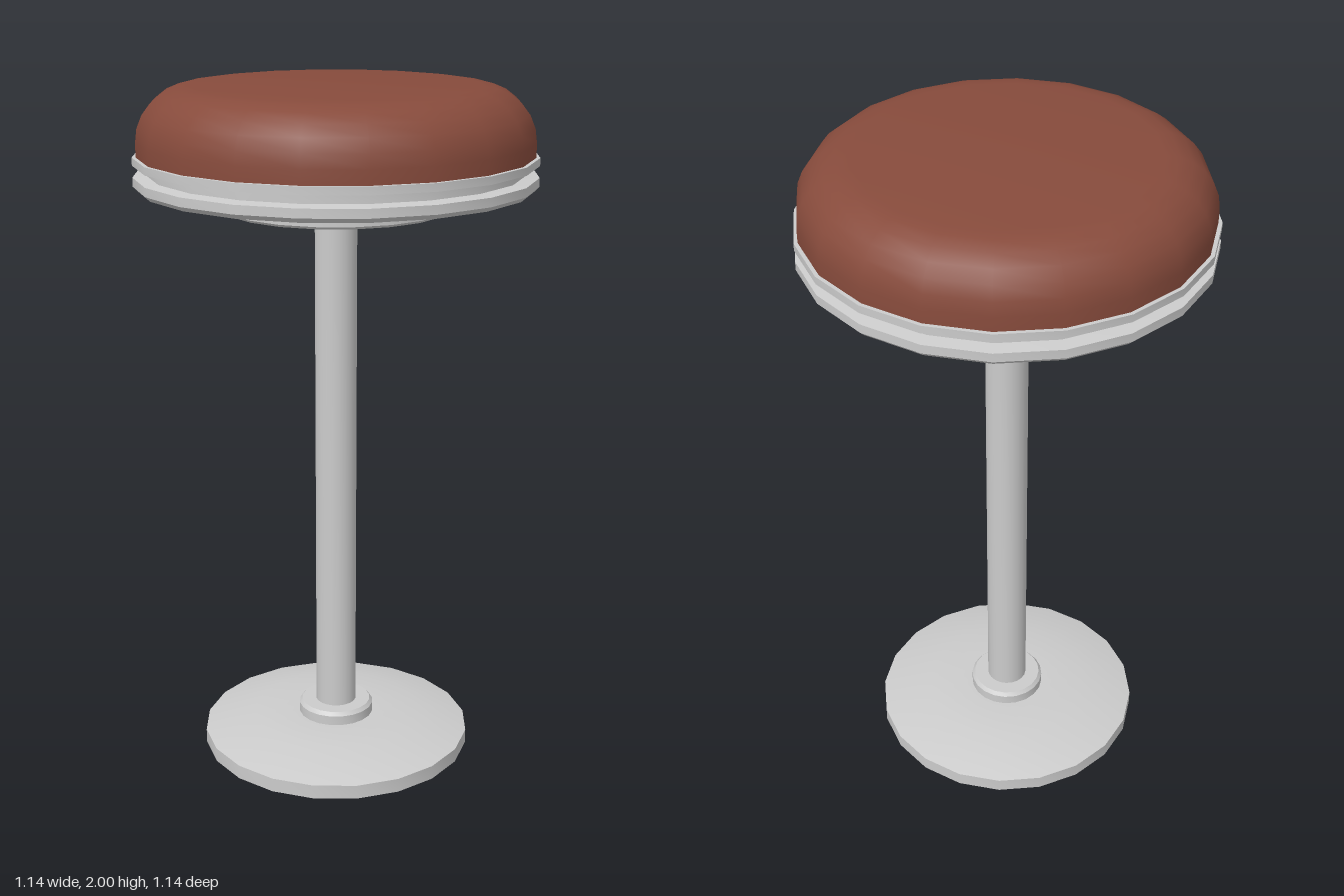
import * as THREE from 'three';
import { toCreasedNormals } from 'three/addons/utils/BufferGeometryUtils.js';

const SIDES = 20;

// Turned part from a [radius, height] profile, listed bottom to top
function turned(name, profile, material) {
  const points = profile.map(([r, y]) => new THREE.Vector2(r, y));
  const geometry = toCreasedNormals(new THREE.LatheGeometry(points, SIDES), 0.55);
  const mesh = new THREE.Mesh(geometry, material);
  mesh.name = name;
  return mesh;
}

export function createModel() {
  const stool = new THREE.Group();
  stool.name = 'barStool';
  const metal = new THREE.MeshStandardMaterial({ color: 0xcccccc, side: THREE.DoubleSide });
  const leather = new THREE.MeshStandardMaterial({ color: 0x874b3c });

  // Hollow foot: rim, sloping skirt and flat centre, open underneath
  stool.add(turned('base', [
    [0.405, 0], [0.405, 0.042], [0.25, 0.083], [0.113, 0.083],
  ], metal));

  // Collar where the column meets the foot
  stool.add(turned('baseCollar', [
    [0.113, 0.083], [0.113, 0.112], [0.104, 0.123], [0.061, 0.123],
  ], metal));

  // Open tube column
  stool.add(turned('column', [[0.061, 0.123], [0.061, 1.635]], metal));

  // Small flange and wide hub under the seat
  stool.add(turned('seatFlange', [
    [0.061, 1.632], [0.105, 1.632], [0.105, 1.656],
  ], metal));
  stool.add(turned('seatHub', [
    [0, 1.656], [0.322, 1.656], [0.329, 1.663], [0.329, 1.717],
  ], metal));

  // Seat pan with a grooved trim band
  stool.add(turned('seatTrim', [
    [0, 1.717], [0.555, 1.717], [0.568, 1.73], [0.568, 1.755],
    [0.53, 1.76], [0.53, 1.785], [0.568, 1.788], [0.568, 1.81], [0.54, 1.81],
  ], metal));

  // Padded cushion with rounded shoulder
  const shoulder = [];
  for (let i = 0; i <= 6; i++) {
    const a = (i / 6) * Math.PI / 2;
    shoulder.push([0.407 + 0.15 * Math.cos(a), 1.85 + 0.15 * Math.sin(a)]);
  }
  stool.add(turned('cushion', [[0.557, 1.805], ...shoulder, [0, 2]], leather));

  return stool;
}
